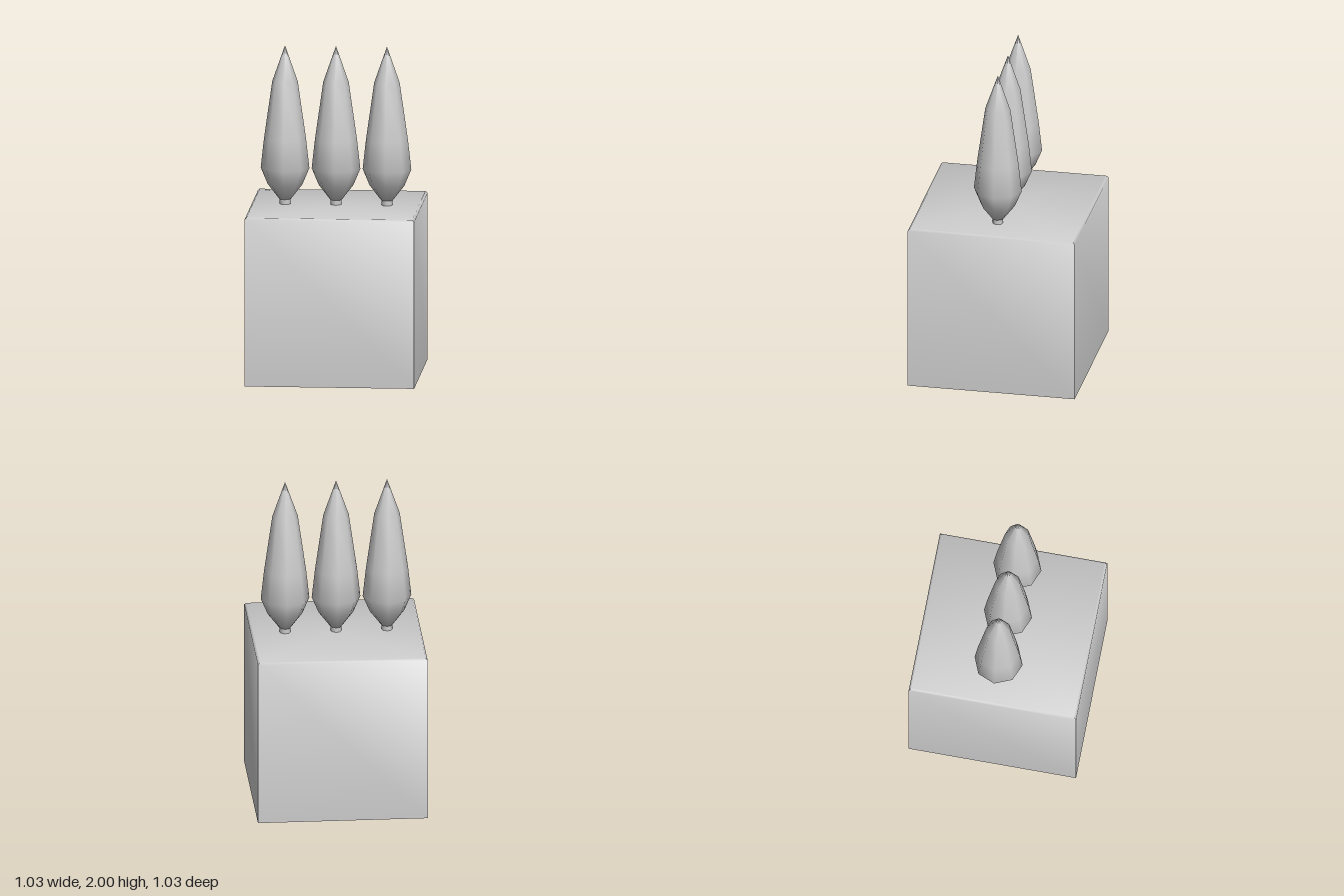
import * as THREE from 'three';
import { toCreasedNormals } from 'three/addons/utils/BufferGeometryUtils.js';

const material = new THREE.MeshStandardMaterial({ color: 0xcccccc });

// Spins a [radius, height] profile, listed from bottom to top, into a faceted solid
function turned(name, profile, sides, startAngle = 0) {
  const points = profile.map(([r, y]) => new THREE.Vector2(r, y));
  const geometry = new THREE.LatheGeometry(points, sides, startAngle);
  const mesh = new THREE.Mesh(toCreasedNormals(geometry, 1.0), material);
  mesh.name = name;
  return mesh;
}

// Slim trunk with a tall, eight-sided pointed crown
function createTree(x) {
  const tree = new THREE.Group();
  tree.name = 'tree';
  tree.add(
    turned('trunk', [[0.032, 1.02], [0.032, 1.08]], 8),
    turned('foliage', [
      [0, 1.06], [0.035, 1.06], [0.105, 1.15], [0.147, 1.25],
      [0.127, 1.43], [0.077, 1.78], [0, 2],
    ], 8),
  );
  tree.position.x = x;
  return tree;
}

export function createModel() {
  const model = new THREE.Group();
  model.name = 'treesOnBlock';

  // Square ground block with a fine bevel around the top
  const half = 0.513, top = 1.03, bevel = 0.012;
  const corner = half * Math.SQRT2;
  model.add(turned('groundBlock', [
    [0, 0], [corner, 0], [corner, top - bevel],
    [corner - bevel * Math.SQRT2, top], [0, top],
  ], 4, Math.PI / 4));

  // Row of three matching trees
  for (const x of [-0.308, 0, 0.308]) model.add(createTree(x));

  return model;
}
